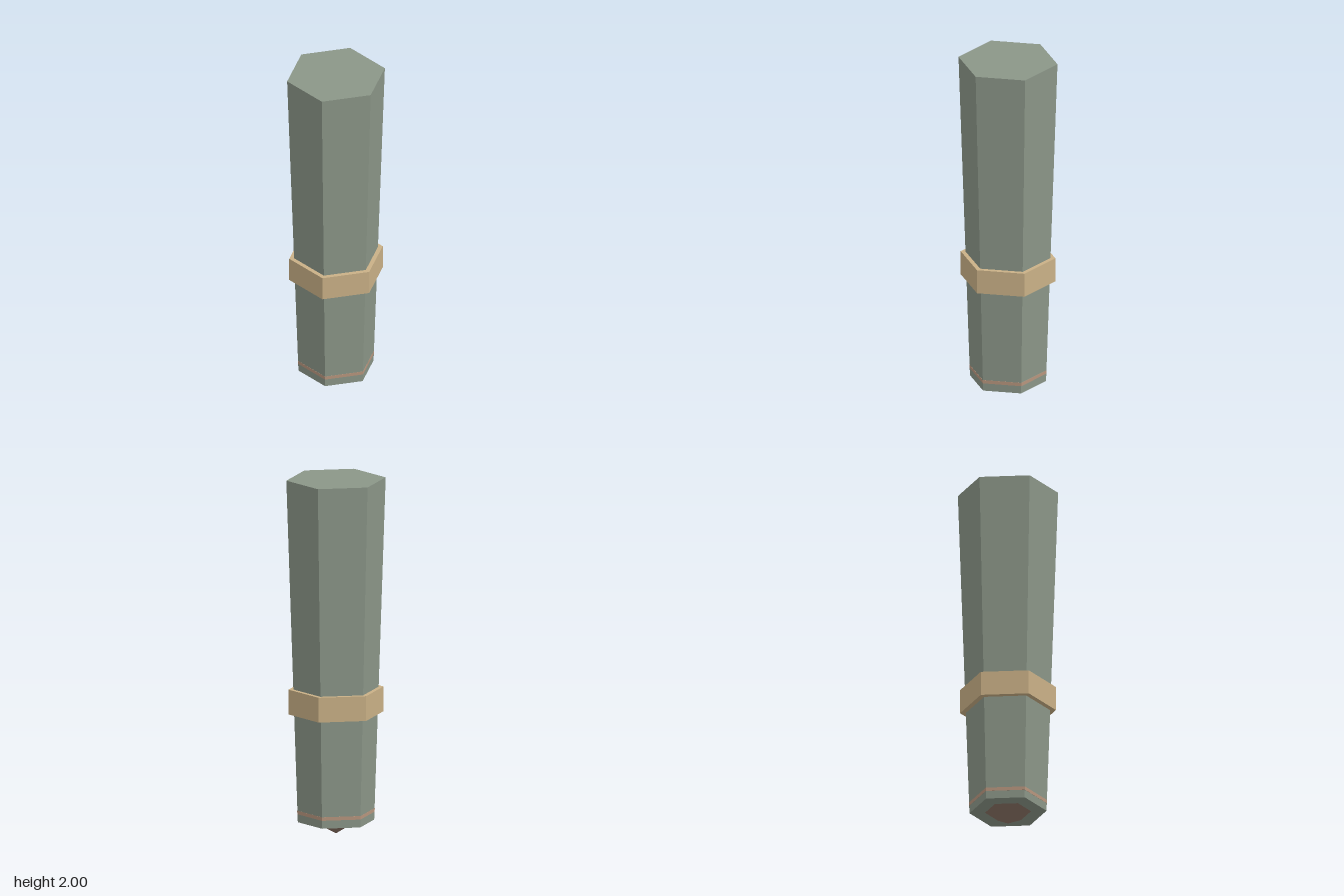
import * as THREE from 'three';

const SIDES = 6;

export function createModel() {
  const group = new THREE.Group();

  // Adds a six-sided tapered section spanning y0 to y1, corners facing front and back
  const addSection = (name, color, y0, y1, bottomRadius, topRadius) => {
    const geometry = new THREE.CylinderGeometry(topRadius, bottomRadius, y1 - y0, SIDES);
    const material = new THREE.MeshStandardMaterial({ color, flatShading: true });
    const mesh = new THREE.Mesh(geometry, material);
    mesh.name = name;
    mesh.position.y = (y0 + y1) / 2;
    group.add(mesh);
  };

  // Tapered shaft, wider at the top
  addSection('shaft', 0x8b9688, 0.07, 2, 0.213, 0.277);
  // Raised collar
  addSection('collar', 0xc9b086, 0.68, 0.82, 0.265, 0.265);
  // Thin inlaid band near the foot
  addSection('footBand', 0xb8967e, 0.115, 0.135, 0.2157, 0.2163);

  // Downward-pointing tip
  const tip = new THREE.Mesh(
    new THREE.ConeGeometry(0.127, 0.07, SIDES).rotateX(Math.PI),
    new THREE.MeshStandardMaterial({ color: 0x8a7264, flatShading: true })
  );
  tip.name = 'tip';
  tip.position.y = 0.035;
  group.add(tip);

  return group;
}
